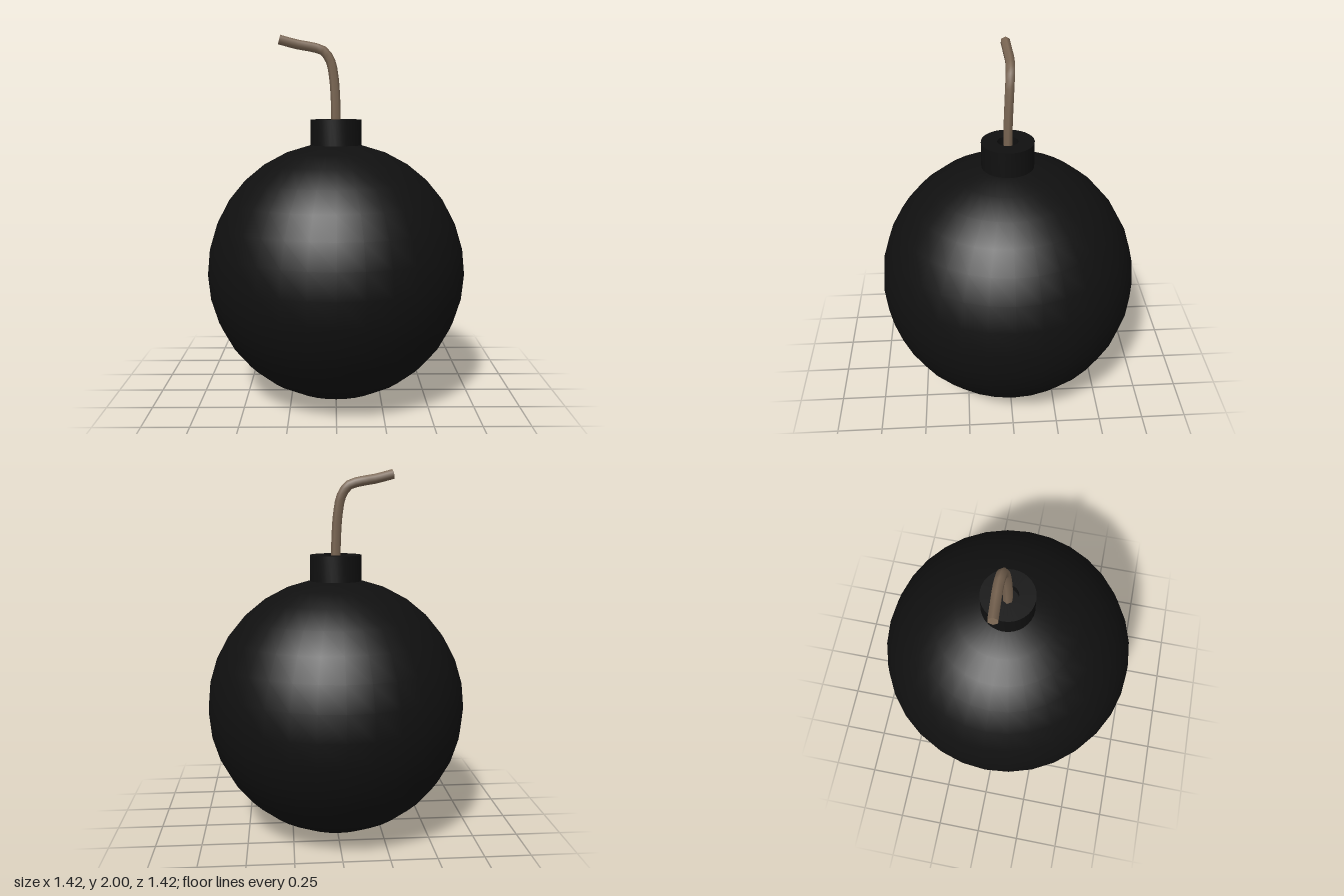
import * as THREE from 'three';
import { toCreasedNormals } from 'three/addons/utils/BufferGeometryUtils.js';

const RADIUS = 0.712;
const FUSE_SIDES = 6;

const black = new THREE.MeshStandardMaterial({ color: 0x101010 });
const brown = new THREE.MeshStandardMaterial({ color: 0x7a6653 });

function part(name, geometry, material) {
  const mesh = new THREE.Mesh(geometry, material);
  mesh.name = name;
  return mesh;
}

// Flat lid for the last ring of a tube
function tubeEnd(tube, segments) {
  const ring = tube.attributes.position;
  const start = segments * (FUSE_SIDES + 1);
  const corners = [];
  for (let i = 0; i < FUSE_SIDES; i++) {
    corners.push(new THREE.Vector3().fromBufferAttribute(ring, start + i));
  }
  const points = [];
  for (let i = 1; i < FUSE_SIDES - 1; i++) points.push(corners[0], corners[i], corners[i + 1]);
  const lid = new THREE.BufferGeometry().setFromPoints(points);
  lid.computeVertexNormals();
  return lid;
}

export function createModel() {
  const model = new THREE.Group();
  model.name = 'roundBomb';

  // Round body
  const body = part('body', new THREE.SphereGeometry(RADIUS, 32, 16), black);
  body.position.y = RADIUS;
  model.add(body);

  // Neck with a small hole for the fuse
  const profile = [
    [0.14, 1.36], [0.14, 1.55], [0.055, 1.55], [0.055, 1.5], [0, 1.5],
  ].map(([x, y]) => new THREE.Vector2(x, y));
  const neck = toCreasedNormals(new THREE.LatheGeometry(profile, 32), Math.PI / 6);
  model.add(part('neck', neck, black));

  // Bent fuse
  const path = new THREE.CatmullRomCurve3([
    [0, 1.48, 0], [-0.002, 1.64, -0.002], [-0.012, 1.78, -0.008],
    [-0.03, 1.865, -0.013], [-0.068, 1.918, -0.017], [-0.13, 1.938, -0.018],
    [-0.21, 1.952, -0.013], [-0.307, 1.977, -0.005],
  ].map((p) => new THREE.Vector3(...p)));
  const segments = 20;
  const tube = new THREE.TubeGeometry(path, segments, 0.026, FUSE_SIDES, false);
  const lidMaterial = brown.clone();
  lidMaterial.side = THREE.DoubleSide;
  const fuse = new THREE.Group();
  fuse.name = 'fuse';
  fuse.add(part('fuseCord', tube, brown), part('fuseTip', tubeEnd(tube, segments), lidMaterial));
  model.add(fuse);

  return model;
}
